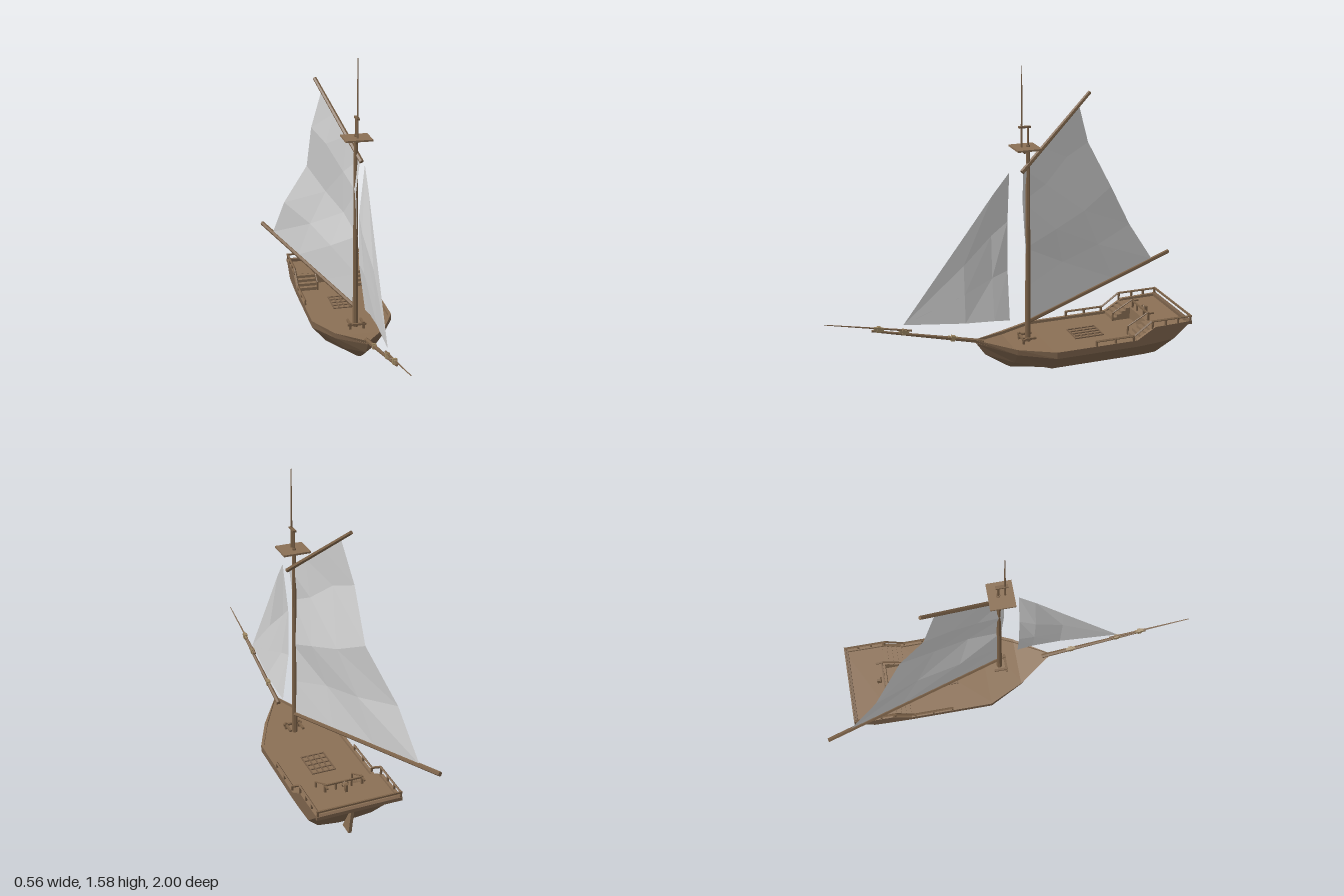
import * as THREE from 'three';

const mat = (name, color, side = THREE.FrontSide) => {
  const m = new THREE.MeshStandardMaterial({ color, side, flatShading: true });
  m.name = name;
  return m;
};

export function createModel() {
  const hullWood = mat('hull wood', 0x7a614a);
  const deckWood = mat('deck wood', 0x8b7055);
  const sparWood = mat('spar wood', 0x7d6349);
  const ropeTan = mat('rope tan', 0x9c8662);
  const canvas = mat('sail canvas', 0xd2d2d2, THREE.DoubleSide);

  const root = new THREE.Group();
  root.name = 'sailingBoat';
  const ship = new THREE.Group();
  ship.name = 'ship';
  ship.position.x = 0.06; // centre line of the hull
  root.add(ship);

  const add = (name, geo, material, parent = ship) => {
    const mesh = new THREE.Mesh(geo, material);
    mesh.name = name;
    parent.add(mesh);
    return mesh;
  };
  const box = (name, w, h, d, x, y, z, material) => {
    const m = add(name, new THREE.BoxGeometry(w, h, d), material);
    m.position.set(x, y, z);
    return m;
  };
  // Tapered rod between two points
  const spar = (name, a, b, r0, r1, material = sparWood, sides = 6) => {
    const p = new THREE.Vector3(...a), q = new THREE.Vector3(...b);
    const dir = q.clone().sub(p);
    const m = add(name, new THREE.CylinderGeometry(r1, r0, dir.length(), sides), material);
    m.position.copy(p).add(q).multiplyScalar(0.5);
    m.quaternion.setFromUnitVectors(new THREE.Vector3(0, 1, 0), dir.normalize());
    return m;
  };
  // Flat-faced geometry from quads, skipping collapsed triangles
  const fromQuads = (quads) => {
    const pos = [];
    const tri = new THREE.Triangle();
    for (const [a, b, c, d] of quads) {
      for (const t of [[a, b, c], [a, c, d]]) {
        tri.set(...t.map((p) => new THREE.Vector3(...p)));
        if (tri.getArea() > 1e-8) t.forEach((p) => pos.push(...p));
      }
    }
    const g = new THREE.BufferGeometry();
    g.setAttribute('position', new THREE.Float32BufferAttribute(pos, 3));
    g.computeVertexNormals();
    return g;
  };

  // Hull cross-sections, stern to bow: keel, bilge, chine, sheer as [half width, y, z]; then deck height
  const sections = [
    [[0.02, 0.004, -0.66], [0.14, 0.05, -0.7], [0.215, 0.145, -0.765], [0.215, 0.23, -0.865], 0.215],
    [[0.02, 0.003, -0.63], [0.14, 0.046, -0.64], [0.215, 0.135, -0.655], [0.215, 0.225, -0.66], 0.213],
    [[0.02, 0.003, -0.63], [0.14, 0.046, -0.64], [0.215, 0.135, -0.655], [0.215, 0.225, -0.66], 0.15],
    [[0.02, 0.002, -0.54], [0.14, 0.045, -0.55], [0.215, 0.13, -0.56], [0.215, 0.165, -0.56], 0.15],
    [[0.02, 0, -0.12], [0.14, 0.045, -0.12], [0.215, 0.13, -0.12], [0.215, 0.165, -0.12], 0.15],
    [[0.015, 0.03, 0.06], [0.08, 0.08, 0.06], [0.125, 0.14, 0.06], [0.13, 0.17, 0.06], 0.155],
    [[0, 0.03, 0.07], [0, 0.11, 0.19], [0, 0.175, 0.235], [0, 0.2, 0.25], 0.185],
  ];
  const rings = sections.map(([k, b, c, s, deckY]) => {
    const inner = Math.max(0, s[0] - 0.015);
    const half = [k, b, c, s, [inner, s[1], s[2]], [inner, deckY, s[2]]];
    return [...half, ...half.map(([x, y, z]) => [-x, y, z]).reverse()];
  });
  const band = (cols) => {
    const quads = [];
    for (let i = 0; i < rings.length - 1; i++) {
      for (const j of cols) {
        const n = (j + 1) % 12;
        quads.push([rings[i][j], rings[i][n], rings[i + 1][n], rings[i + 1][j]]);
      }
    }
    return quads;
  };
  const st = rings[0];
  const transom = [0, 1, 2].map((j) => [st[j], st[11 - j], st[10 - j], st[j + 1]]);
  add('hull', fromQuads([...band([0, 1, 2, 8, 9, 10, 11]), ...transom]), hullWood);
  add('deck', fromQuads(band([3, 4, 5, 6, 7])), deckWood);
  box('sternCap', 0.43, 0.018, 0.02, 0, 0.222, -0.858, hullWood);

  // Rudder
  const rudder = new THREE.Shape([
    [0.69, 0.008], [0.76, 0.008], [0.785, 0.145], [0.77, 0.145],
  ].map(([x, y]) => new THREE.Vector2(x, y)));
  const rudderGeo = new THREE.ExtrudeGeometry(rudder, { depth: 0.016, bevelEnabled: false });
  rudderGeo.translate(0, 0, -0.008).rotateY(Math.PI / 2);
  add('rudder', rudderGeo, deckWood);

  // Stairs, rails and posts on both sides
  for (const s of [1, -1]) {
    for (let i = 0; i < 4; i++) {
      const h = 0.062 - i * 0.015;
      box('stairStep', 0.105, h, 0.025, s * 0.147, 0.15 + h / 2, -0.648 + i * 0.025, deckWood);
    }
    spar('stairRail', [s * 0.095, 0.255, -0.67], [s * 0.095, 0.195, -0.56], 0.004, 0.004);
    box('stairPost', 0.008, 0.05, 0.008, s * 0.095, 0.172, -0.56, sparWood);
    const rail = [[0.19, -0.33], [0.19, -0.545], [0.256, -0.64], [0.256, -0.862]];
    for (let i = 0; i < 3; i++) {
      spar('sideRail', [s * 0.209, ...rail[i]], [s * 0.209, ...rail[i + 1]], 0.006, 0.006, sparWood, 4);
    }
    for (const z of [-0.335, -0.44, -0.54]) box('lowerPost', 0.009, 0.03, 0.009, s * 0.209, 0.177, z, sparWood);
    for (const z of [-0.645, -0.72, -0.79, -0.86]) box('upperPost', 0.009, 0.04, 0.009, s * 0.209, 0.236, z, sparWood);
    // Quarterdeck front rail
    box('breakPost', 0.01, 0.045, 0.01, s * 0.095, 0.235, -0.675, sparWood);
    box('breakRailReturn', 0.008, 0.008, 0.035, s * 0.095, 0.25, -0.69, sparWood);
    box('breakMidPost', 0.008, 0.035, 0.008, s * 0.04, 0.232, -0.675, sparWood);
    // Pin rail at the foot of the mast
    box('pinRailPost', 0.012, 0.04, 0.012, s * 0.035, 0.17, -0.005, sparWood);
    box('pinRailSide', 0.012, 0.01, 0.075, s * 0.035, 0.178, -0.035, sparWood);
  }
  box('sternRail', 0.43, 0.009, 0.009, 0, 0.256, -0.862, sparWood);
  box('breakRail', 0.19, 0.008, 0.008, 0, 0.25, -0.675, sparWood);
  box('pinRail', 0.1, 0.01, 0.012, 0, 0.178, -0.005, sparWood);

  // Steering wheel
  box('wheelPost', 0.012, 0.04, 0.018, 0, 0.232, -0.705, sparWood);
  add('wheel', new THREE.TorusGeometry(0.016, 0.003, 4, 8), sparWood).position.set(0, 0.245, -0.692);

  // Deck grating
  for (let i = 0; i < 5; i++) {
    box('gratingBar', 0.006, 0.006, 0.16, -0.06 + i * 0.03, 0.153, -0.36, hullWood);
    box('gratingSlat', 0.126, 0.005, 0.006, 0, 0.153, -0.437 + i * 0.0385, hullWood);
  }

  // Mast, lookout platform and topmast
  spar('mast', [0, 0.14, -0.04], [0, 1.19, -0.038], 0.015, 0.011, sparWood, 8);
  spar('mastHead', [0, 1.18, -0.038], [0, 1.285, -0.038], 0.006, 0.006);
  box('lookoutPlatform', 0.138, 0.009, 0.125, 0, 1.177, -0.025, deckWood);
  box('mastCap', 0.016, 0.009, 0.06, 0, 1.28, -0.02, sparWood);
  spar('topmastFoot', [0, 1.15, -0.025], [0, 1.17, -0.005], 0.007, 0.007);
  spar('topmast', [0, 1.16, -0.005], [0, 1.35, -0.005], 0.006, 0.004);
  spar('topmastTip', [0, 1.35, -0.005], [0, 1.58, -0.005], 0.004, 0.002);

  // Boom and gaff
  spar('boom', [0, 0.262, -0.045], [-0.333, 0.413, -0.997], 0.012, 0.012);
  spar('gaff', [0.02, 1.06, 0], [-0.13, 1.398, -0.415], 0.012, 0.01);

  // Bowsprit, its extension and the lashings
  spar('bowsprit', [0, 0.185, 0.2], [0, 0.325, 0.77], 0.012, 0.006);
  spar('jibBoom', [0, 0.298, 0.57], [0, 0.39, 1], 0.006, 0.002);
  for (const [y, z] of [[0.226, 0.36], [0.296, 0.61], [0.328, 0.735]]) {
    box('lashing', 0.02, 0.028, 0.02, 0, y, z, ropeTan).rotation.x = -0.23;
    box('lashingCollar', 0.014, 0.018, 0.05, 0, y, z, ropeTan).rotation.x = -0.23;
  }

  // Sails are loose grids of flat facets
  const sail = (name, rows) => {
    const quads = [];
    for (let i = 0; i < rows.length - 1; i++) {
      for (let j = 0; j < rows[0].length - 1; j++) {
        quads.push([rows[i][j], rows[i + 1][j], rows[i + 1][j + 1], rows[i][j + 1]]);
      }
    }
    add(name, fromQuads(quads), canvas);
  };
  const luff = [[0.015, 1.075, -0.008], [-0.005, 0.9, -0.012], [0.005, 0.66, -0.025], [0, 0.45, -0.035], [0, 0.268, -0.05]];
  const leech = [[-0.11, 1.34, -0.35], [-0.15, 1.135, -0.42], [-0.15, 0.885, -0.555], [-0.25, 0.63, -0.715], [-0.29, 0.4, -0.875]];
  sail('mainSail', luff.map((a, i) => [0, 1, 2, 3].map((j) => {
    const t = j / 3;
    const p = a.map((v, k) => v + (leech[i][k] - v) * t);
    if (i > 0 && i < 4) {
      p[0] += 0.014 * Math.sin(Math.PI * t) * (1 + Math.sin(i * 2.3 + j * 4.1));
      p[1] += 0.03 * Math.sin(Math.PI * t) * Math.sin(i * 3.7 + j * 2.2);
    }
    return p;
  })));

  // Jib columns from leech to tack: z, bottom y, top y, x values from top to bottom
  const jibColumns = [
    [0.066, 0.29, 1.065, [0.02, -0.008, -0.008, 0.025]],
    [0.15, 0.3, 0.96, [0.018, -0.012, 0, 0.03]],
    [0.3, 0.308, 0.755, [0.012, 0.008, 0.018, 0.028]],
    [0.61, 0.333, 0.336, [0, 0, 0, 0]],
  ];
  sail('jib', jibColumns.map(([z, y0, y1, xs]) => xs.map((x, k) => [x, y1 + (y0 - y1) * k / 3, z])));

  return root;
}
